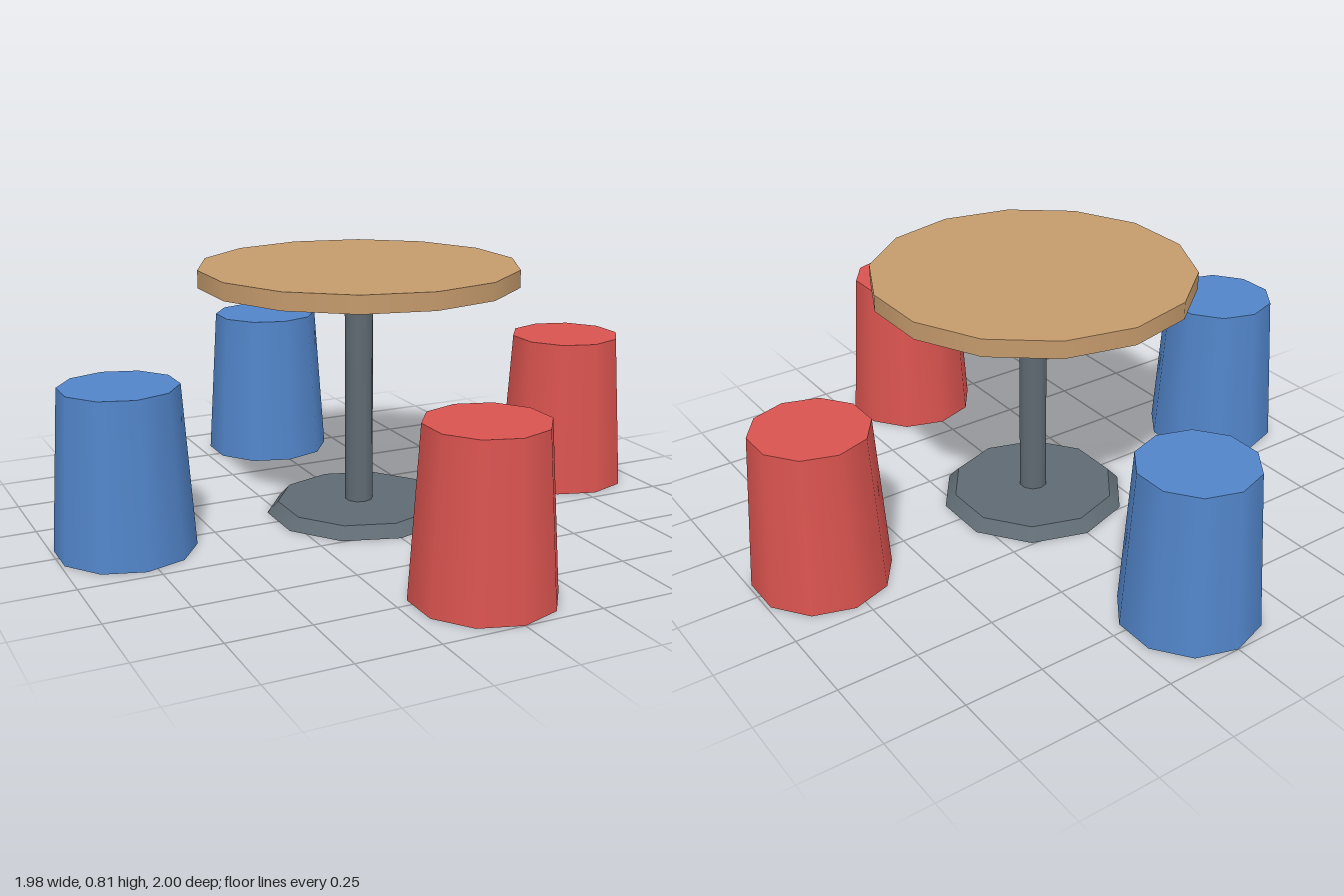
import * as THREE from 'three';

export function createModel() {
  const model = new THREE.Group();
  model.name = 'tableWithStools';

  const material = (name, color) => {
    const m = new THREE.MeshStandardMaterial({ color });
    m.name = name;
    return m;
  };
  const wood = material('wood', 0xc49a6c);
  const metal = material('grey metal', 0x5f6a72);
  const red = material('red', 0xd9534f);
  const blue = material('blue', 0x5184c8);

  // Capped, tapered cylinder spanning y0 to y1
  const drum = (name, rTop, rBottom, y0, y1, sides, mat, x = 0, z = 0) => {
    const mesh = new THREE.Mesh(new THREE.CylinderGeometry(rTop, rBottom, y1 - y0, sides), mat);
    mesh.name = name;
    mesh.position.set(x, (y0 + y1) / 2, z);
    model.add(mesh);
  };

  // Table
  drum('tabletop', 0.505, 0.505, 0.753, 0.808, 14, wood);
  drum('tablePost', 0.045, 0.045, 0.03, 0.755, 10, metal);
  drum('tableBase', 0.265, 0.3, 0, 0.037, 10, metal);

  // Four tapered stools around the table
  const d = 0.785;
  const stools = [
    ['frontStool', 0, d, red],
    ['leftStool', d, 0, red],
    ['backStool', 0, -d, blue],
    ['rightStool', -d, 0, blue],
  ];
  for (const [name, x, z, mat] of stools) drum(name, 0.181, 0.215, 0, 0.507, 10, mat, x, z);

  return model;
}
